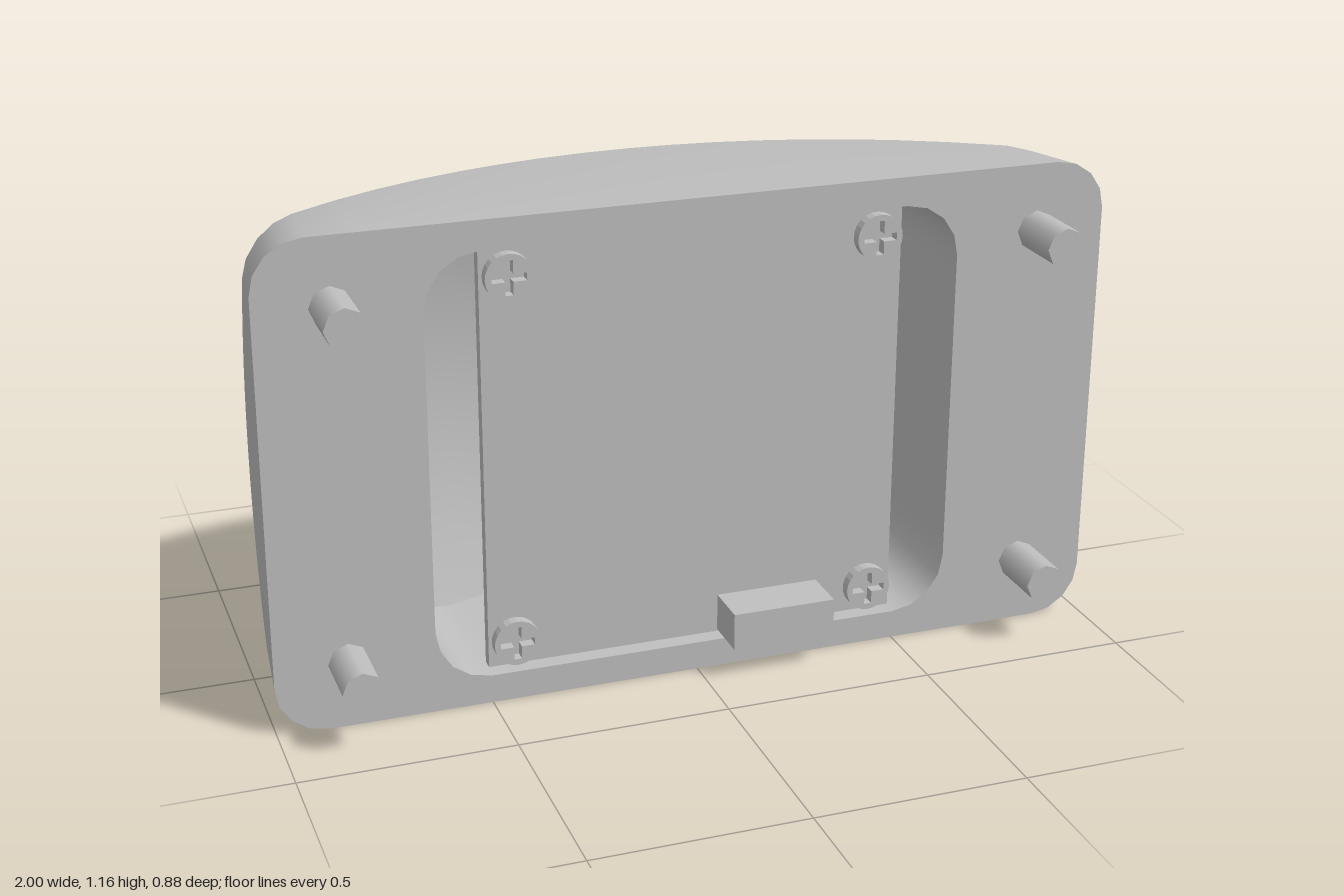
import * as THREE from 'three';
import { mergeGeometries, toCreasedNormals } from 'three/addons/utils/BufferGeometryUtils.js';

const MID = 0.5785;               // height of the centre line
const HOLE = { x: 0.83, y: 0.42, r: 0.1 };
const EDGE = { a: 0.965, b: 0.545, r: 0.11 };

const lerpList = (a, b, n) => Array.from({ length: n + 1 }, (_, i) => a + (b - a) * i / n);
const sphereZ = (x, y, R) => 1.26 - Math.sqrt(R * R - x * x - y * y);
const domeZ = (x, y) => Math.max(sphereZ(x, y, 1.59), -0.304);
const onDome = ([x, y]) => [x, y, domeZ(x, y)];

// Surface through rows of points
function sheet(rows, flip = false) {
  const n = rows[0].length, index = [];
  for (let r = 0; r < rows.length - 1; r++) {
    for (let c = 0; c < n - 1; c++) {
      const a = r * n + c, b = a + n;
      if (flip) index.push(a, a + 1, b, a + 1, b + 1, b);
      else index.push(a, b, a + 1, a + 1, b, b + 1);
    }
  }
  const g = new THREE.BufferGeometry();
  g.setAttribute('position', new THREE.Float32BufferAttribute(rows.flat(2), 3));
  g.setIndex(index);
  return g;
}

// Closed rounded rectangle, counter-clockwise, with subdivided sides
function outline(a, b, r) {
  const pts = [];
  const corners = [[1, 1], [-1, 1], [-1, -1], [1, -1]];
  corners.forEach(([sx, sy], q) => {
    for (let k = 0; k <= 4; k++) {
      const t = (q + k / 4) * Math.PI / 2;
      pts.push([sx * (a - r) + r * Math.cos(t), sy * (b - r) + r * Math.sin(t)]);
    }
    const [nx, ny] = corners[(q + 1) % 4];
    const from = pts[pts.length - 1];
    const to = q % 2 ? [nx * a, ny * (b - r)] : [nx * (a - r), ny * b];
    const end = q % 2 ? [from[0], to[1]] : [to[0], from[1]];
    for (let k = 1; k < 16; k++) {
      pts.push([from[0] + (end[0] - from[0]) * k / 16, from[1] + (end[1] - from[1]) * k / 16]);
    }
  });
  pts.push([...pts[0]]);
  return pts;
}

// Corner of the dome with an eight-sided screw well
function screwWell(sx, sy) {
  const hx = EDGE.a - HOLE.x, hy = EDGE.b - HOLE.y;
  const square = [[1, -1], [1, 1], [-1, 1], [-1, -1], [1, -1]];
  const outer = [], rim = [];
  for (let k = 0; k <= 16; k++) {
    const s = Math.min(3, Math.floor(k / 4)), f = k / 4 - s;
    let x = HOLE.x + hx * (square[s][0] * (1 - f) + square[s + 1][0] * f);
    let y = HOLE.y + hy * (square[s][1] * (1 - f) + square[s + 1][1] * f);
    const cx = EDGE.a - EDGE.r, cy = EDGE.b - EDGE.r;
    if (x > cx && y > cy) {
      const d = Math.hypot(x - cx, y - cy), m = Math.min(1, EDGE.r / d);
      x = cx + (x - cx) * m;
      y = cy + (y - cy) * m;
    }
    outer.push([x * sx, y * sy]);
    const t = -Math.PI / 4 + k * Math.PI / 8;
    const r = HOLE.r * (k % 2 ? Math.cos(Math.PI / 8) : 1);
    rim.push([(HOLE.x + r * Math.cos(t)) * sx, (HOLE.y + r * Math.sin(t)) * sy]);
  }
  return sheet([
    outer.map(onDome),
    rim.map(onDome),
    rim.map(([x, y]) => [x, y, 0.12]),
    rim.map(() => [HOLE.x * sx, HOLE.y * sy, 0.12]),
  ], sx * sy < 0);
}

function housingGeometry() {
  const parts = [];
  const x0 = 2 * HOLE.x - EDGE.a, y0 = 2 * HOLE.y - EDGE.b;
  const grid = (xs, ys) => sheet(ys.map(y => xs.map(x => onDome([x, y]))));
  // Dome: middle band, two side patches, four wells
  parts.push(grid(lerpList(-x0, x0, 24),
    [...lerpList(-EDGE.b, -y0, 4), ...lerpList(-y0, y0, 10).slice(1), ...lerpList(y0, EDGE.b, 4).slice(1)]));
  parts.push(grid(lerpList(x0, EDGE.a, 4), lerpList(-y0, y0, 10)));
  parts.push(grid(lerpList(-EDGE.a, -x0, 4), lerpList(-y0, y0, 10)));
  for (const sx of [-1, 1]) for (const sy of [-1, 1]) parts.push(screwWell(sx, sy));

  // Rounded edge, drafted walls, flat frame and the cavity
  const top = outline(EDGE.a, EDGE.b, EDGE.r);
  const cavity = outline(0.63, 0.51, 0.13);
  const inner = s => cavity.map(([x, y]) => [x * s, y * s, Math.max(sphereZ(x * s, y * s, 1.53), -0.27)]);
  parts.push(sheet([
    top.map(onDome),
    outline(0.977, 0.557, 0.12).map(([x, y], i) => [x, y, domeZ(...top[i]) + 0.01]),
    outline(0.982, 0.561, 0.12).map(([x, y], i) => [x, y, domeZ(...top[i]) + 0.03]),
    outline(1, MID, 0.12).map(([x, y]) => [x, y, 0.29]),
    cavity.map(([x, y]) => [x, y, 0.29]),
    inner(1), inner(0.75), inner(0.5), inner(0.25), inner(0),
  ], true));
  return toCreasedNormals(mergeGeometries(parts), 0.6);
}

// Round head with a polygon-shaped recess
function headGeometry(radius, recess, depth, segments) {
  const shape = new THREE.Shape();
  shape.absarc(0, 0, radius, 0, Math.PI * 2);
  shape.holes.push(new THREE.Path(recess.map(([x, y]) => new THREE.Vector2(x, y))));
  return new THREE.ExtrudeGeometry(shape, { depth, bevelEnabled: false, curveSegments: segments });
}

export function createModel() {
  const model = new THREE.Group();
  const grey = new THREE.MeshStandardMaterial({ color: 0xbfbfbf });
  grey.name = 'plain grey';
  const shellGrey = grey;
  shellGrey.side = THREE.DoubleSide;

  const add = (name, geometry, x, y, z) => {
    const mesh = new THREE.Mesh(geometry, grey);
    mesh.name = name;
    mesh.position.set(x, MID + y, z);
    model.add(mesh);
    return mesh;
  };

  add('housing', housingGeometry(), 0, 0, 0);

  // Lens and its collar on the back
  const collar = new THREE.CylinderGeometry(0.298, 0.298, 0.022, 16).rotateX(-Math.PI / 2);
  add('lensCollar', collar, 0, 0, -0.311);
  const R = 0.23, half = Math.acos(1 - 0.122 / R);
  const lens = new THREE.SphereGeometry(R, 10, 8, 0, Math.PI * 2, 0, half).rotateX(-Math.PI / 2);
  add('lens', lens, 0, 0, -0.442 + R);

  // Circuit board with its connector
  add('circuitBoard', new THREE.BoxGeometry(1, 1.01, 0.028), 0, 0.002, 0.247);
  add('connector', new THREE.BoxGeometry(0.25, 0.09, 0.125), 0.185, -0.4535, 0.3125);

  // Cross-slot board screws
  const w = 0.009, l = 0.04;
  const cross = [[w, w], [w, l], [-w, l], [-w, w], [-l, w], [-l, -w],
    [-w, -w], [-w, -l], [w, -l], [w, -w], [l, -w], [l, w]];
  const boardHead = headGeometry(0.055, cross, 0.026, 12);

  // Hex-socket mounting screws
  const hex = Array.from({ length: 6 }, (_, i) =>
    [0.036 * Math.cos(i * Math.PI / 3), 0.036 * Math.sin(i * Math.PI / 3)]);
  const mountHead = headGeometry(0.07, hex, 0.07, 8);
  const shaft = new THREE.CylinderGeometry(0.047, 0.047, 0.34, 8).rotateX(Math.PI / 2);

  for (const sx of [-1, 1]) {
    for (const sy of [-1, 1]) {
      add('boardScrew', boardHead, sx * 0.437, sy * 0.44, 0.261);
      add('mountingScrewHead', mountHead, sx * HOLE.x, sy * HOLE.y, 0.05);
      add('mountingScrewShaft', shaft, sx * HOLE.x, sy * HOLE.y, 0.27);
    }
  }
  return model;
}
